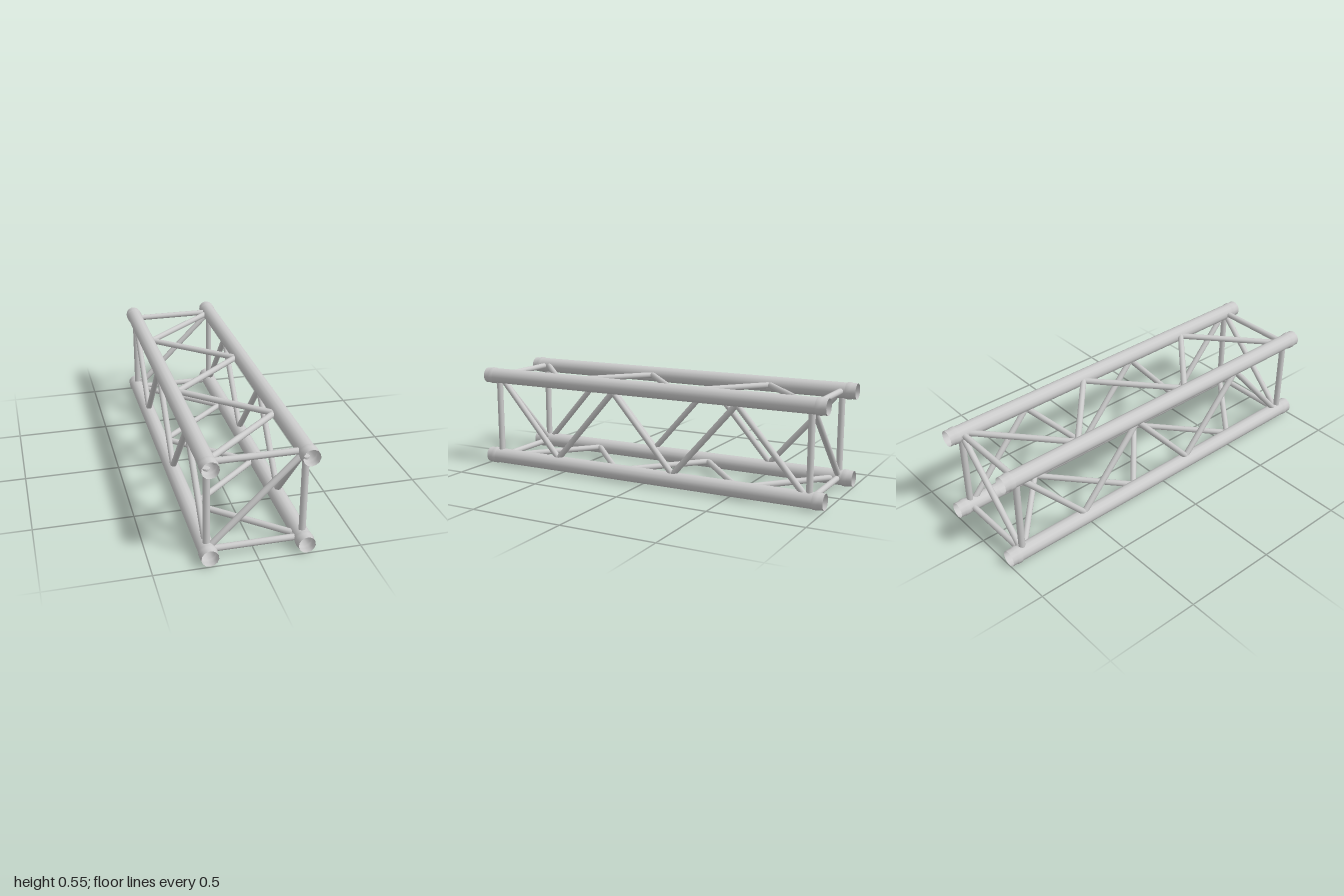
import * as THREE from 'three';

const X = 0.232;            // chord offset from the centre line
const MID = 0.279;          // height of the truss axis
const H = 0.231;            // chord offset above and below the axis
const BRACE_R = 0.016;
const IN = 0.87;            // brace ends stop just inside the chord wall
const STEP = 0.355;         // length of one lattice panel

const material = new THREE.MeshStandardMaterial({ color: 0xcccccc, side: THREE.DoubleSide });

// Round bar between two points
function bar(name, a, b, radius = BRACE_R) {
  const dir = b.clone().sub(a);
  const mesh = new THREE.Mesh(new THREE.CylinderGeometry(radius, radius, dir.length(), 12), material);
  mesh.position.copy(a).add(b).multiplyScalar(0.5);
  mesh.quaternion.setFromUnitVectors(new THREE.Vector3(0, 1, 0), dir.normalize());
  mesh.name = name;
  return mesh;
}

// Point on the cross-section: u, v run from -1 to 1 between chord axes
const at = (u, v, z) => new THREE.Vector3(u * X, MID + v * H, z);

export function createModel() {
  const truss = new THREE.Group();
  truss.name = 'boxTruss';

  // Open tubular chords with a raised collar near each end
  const half = [[0.042, 1], [0.042, 0.972], [0.045, 0.968], [0.045, 0.946], [0.0415, 0.942]];
  const profile = [
    ...half.map(([r, z]) => new THREE.Vector2(r, -z)),
    ...half.slice().reverse().map(([r, z]) => new THREE.Vector2(r, z)),
  ];
  const chordGeometry = new THREE.LatheGeometry(profile, 13);
  chordGeometry.rotateX(Math.PI / 2);
  for (const u of [-1, 1]) {
    for (const v of [-1, 1]) {
      const chord = new THREE.Mesh(chordGeometry, material);
      chord.position.copy(at(u, v, 0));
      chord.name = 'chord';
      truss.add(chord);
    }
  }

  // End frames: two uprights, two crossbars and one diagonal
  for (const z of [-0.92, 0.92]) {
    const frame = new THREE.Group();
    frame.name = z > 0 ? 'frontFrame' : 'backFrame';
    for (const s of [-1, 1]) {
      frame.add(bar('upright', at(s, -IN, z), at(s, IN, z), 0.017));
      frame.add(bar('crossbar', at(-IN, s, z), at(IN, s, z)));
    }
    frame.add(bar('endDiagonal', at(-0.89, -0.89, z), at(0.89, 0.89, z)));
    truss.add(frame);
  }

  // Zigzag lattice on each long side; opposite sides run in opposite phase
  const faces = [
    ['leftLattice', (s, z) => at(1, s, z), 1],
    ['rightLattice', (s, z) => at(-1, s, z), -1],
    ['topLattice', (s, z) => at(s, 1, z), -1],
    ['bottomLattice', (s, z) => at(s, -1, z), 1],
  ];
  for (const [name, point, start] of faces) {
    const lattice = new THREE.Group();
    lattice.name = name;
    for (let i = 0; i < 5; i++) {
      const s = (i % 2 ? -start : start) * IN;
      const z = 2.5 * STEP - i * STEP;
      lattice.add(bar('brace', point(s, z), point(-s, z - STEP)));
    }
    truss.add(lattice);
  }
  return truss;
}
